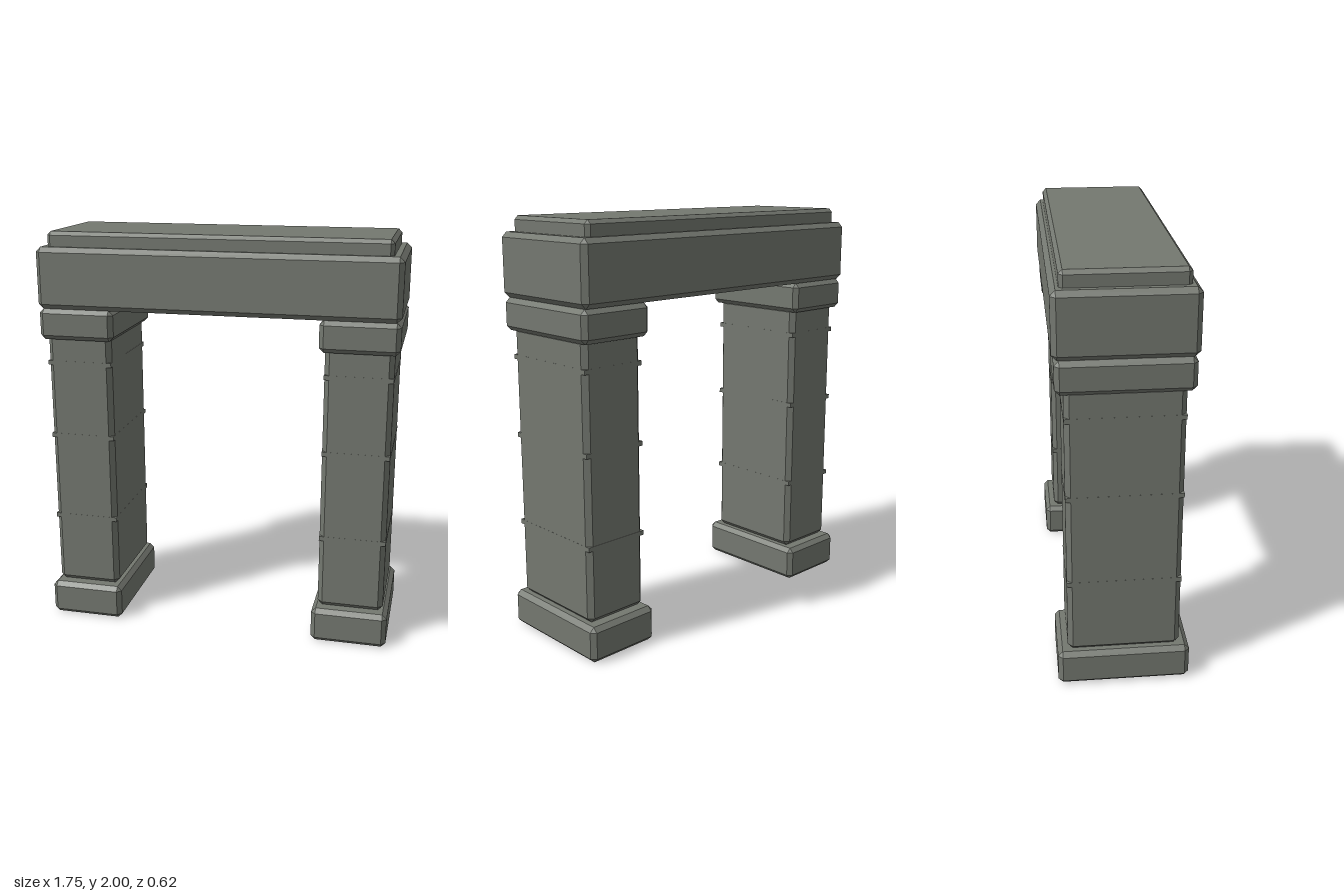
import * as THREE from 'three';
import { ConvexGeometry } from 'three/addons/geometries/ConvexGeometry.js';

// Box with every edge and corner cut off by c
function chamferBox(w, h, d, c) {
  const points = [];
  for (const sx of [-1, 1]) for (const sy of [-1, 1]) for (const sz of [-1, 1]) {
    const x = w / 2, y = h / 2, z = d / 2;
    points.push(
      new THREE.Vector3(sx * x, sy * (y - c), sz * (z - c)),
      new THREE.Vector3(sx * (x - c), sy * y, sz * (z - c)),
      new THREE.Vector3(sx * (x - c), sy * (y - c), sz * z));
  }
  return new ConvexGeometry(points);
}

export function createModel() {
  const stone = new THREE.MeshStandardMaterial({ color: 0x747870 });
  stone.name = 'greyStone';

  const model = new THREE.Group();
  model.name = 'stoneGateway';

  // Block spanning y0 to y1, chamfered when c > 0
  function block(parent, name, w, y0, y1, d, c) {
    const h = y1 - y0;
    const geometry = c > 0 ? chamferBox(w, h, d, c) : new THREE.BoxGeometry(w, h, d);
    const mesh = new THREE.Mesh(geometry, stone);
    mesh.name = name;
    mesh.position.y = (y0 + y1) / 2;
    parent.add(mesh);
  }

  // Two matching pillars
  for (const side of [-1, 1]) {
    const pillar = new THREE.Group();
    pillar.name = side > 0 ? 'leftPillar' : 'rightPillar';
    pillar.position.x = side * 0.6875;
    block(pillar, 'base', 0.375, 0, 0.175, 0.62, 0.022);
    block(pillar, 'shaft', 0.325, 0.175, 1.5, 0.525, 0.024);
    block(pillar, 'capital', 0.375, 1.478, 1.63, 0.6, 0.022);
    // Square joint bands, flush with the shaft faces
    for (const y of [0.541, 0.978, 1.355])
      block(pillar, 'jointBand', 0.326, y - 0.011, y + 0.011, 0.526, 0);
    model.add(pillar);
  }

  // Lintel and the slab on top of it
  block(model, 'lintel', 1.75, 1.63, 1.928, 0.62, 0.024);
  block(model, 'topSlab', 1.65, 1.89, 2, 0.545, 0.018);
  return model;
}
